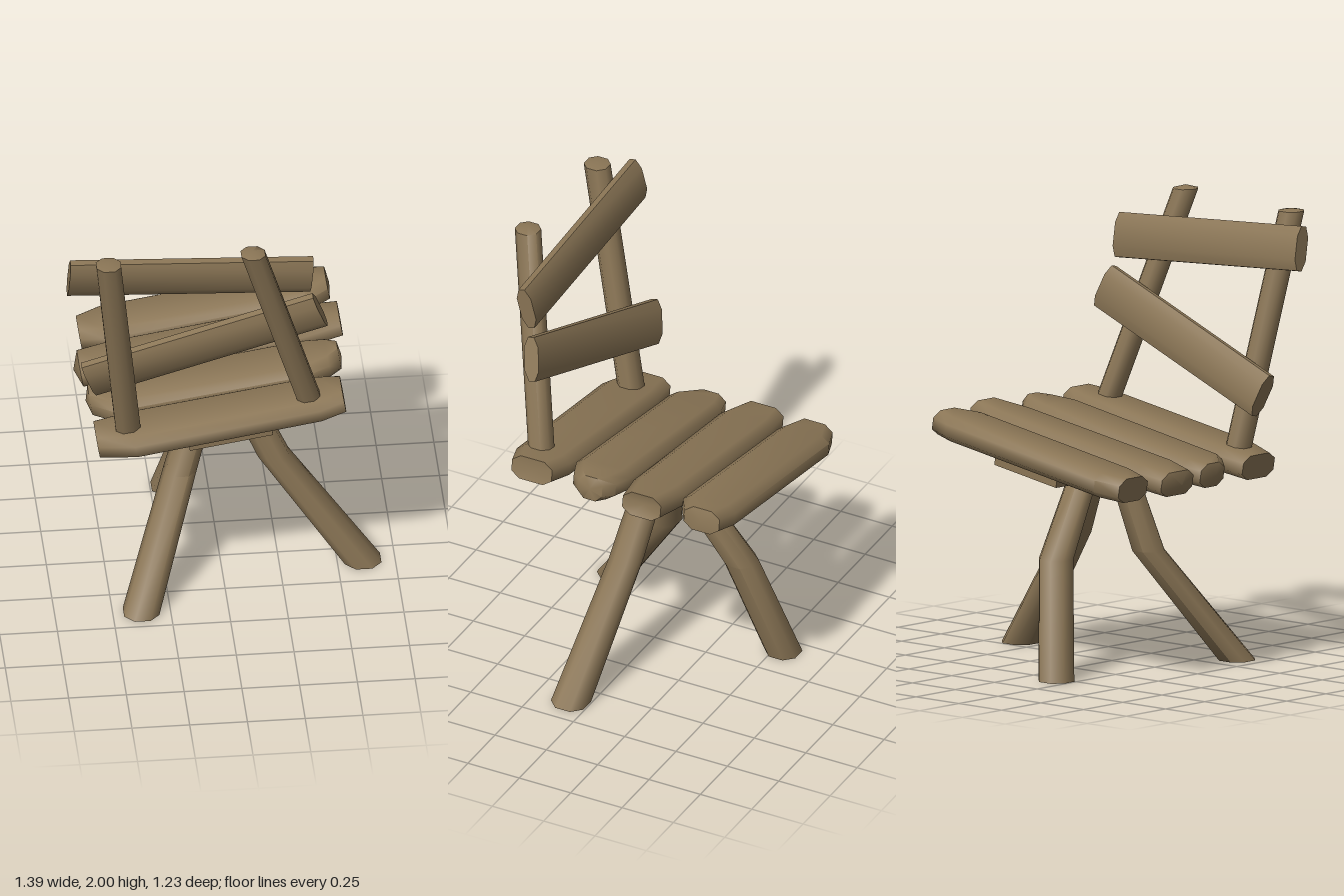
import * as THREE from 'three';
import { toCreasedNormals } from 'three/addons/utils/BufferGeometryUtils.js';

const X = new THREE.Vector3(1, 0, 0);
const Y = new THREE.Vector3(0, 1, 0);
const Z = new THREE.Vector3(0, 0, 1);

// Chamfered rectangle around c, spanned by u and v (u x v points along the loft)
function ring(c, u, v, hu, hv, cu, cv) {
  return [
    [hu, -hv + cv], [hu, hv - cv], [hu - cu, hv], [-hu + cu, hv],
    [-hu, hv - cv], [-hu, -hv + cv], [-hu + cu, -hv], [hu - cu, -hv],
  ].map(([a, b]) => c.clone().addScaledVector(u, a).addScaledVector(v, b));
}

// Skin a list of rings; tips push the cap centres along the given axis
function loft(rings, axis = X, startTip = 0, endTip = 0) {
  const pos = [];
  const tri = (...pts) => pts.forEach((p) => pos.push(p.x, p.y, p.z));
  const n = rings[0].length;
  const middle = (r, tip) => r.reduce((s, p) => s.add(p), new THREE.Vector3())
    .divideScalar(n).addScaledVector(axis, tip);
  const first = rings[0];
  const last = rings[rings.length - 1];
  const c0 = middle(first, startTip);
  const c1 = middle(last, endTip);
  for (let j = 0; j < n; j++) {
    const k = (j + 1) % n;
    for (let i = 0; i < rings.length - 1; i++) {
      const a = rings[i];
      const b = rings[i + 1];
      tri(a[j], a[k], b[k]);
      tri(a[j], b[k], b[j]);
    }
    tri(c0, first[k], first[j]);
    tri(c1, last[j], last[k]);
  }
  const geo = new THREE.BufferGeometry();
  geo.setAttribute('position', new THREE.Float32BufferAttribute(pos, 3));
  return toCreasedNormals(geo, 1.0);
}

// Plank running along x from stations [x, zMin, zMax]
function plankGeometry(stations, startTip, endTip) {
  return loft(stations.map(([x, z0, z1]) => {
    const h = (z1 - z0) / 2;
    return ring(new THREE.Vector3(x, 0, (z0 + z1) / 2), Y, Z, 0.054, h, 0.028, Math.min(0.04, h * 0.5));
  }), X, startTip, endTip);
}

// Pole with level cuts, through points [x, y, z, radius] from bottom to top
function poleGeometry(points, tip = 0) {
  return loft(points.map(([x, y, z, r]) =>
    ring(new THREE.Vector3(x, y, z), Z, X, r, r, r * 0.55, r * 0.55)), Y, 0, tip);
}

export function createModel() {
  const model = new THREE.Group();
  model.name = 'rusticChair';
  const wood = new THREE.MeshStandardMaterial({ color: 0x8b7656 });
  wood.name = 'brown wood';
  const add = (parent, name, geo) => {
    const mesh = new THREE.Mesh(geo, wood);
    mesh.name = name;
    parent.add(mesh);
    return mesh;
  };

  // Tilted seat of four rough planks
  const seat = new THREE.Group();
  seat.name = 'seat';
  seat.position.set(-0.03, 0.962, 0);
  seat.rotation.z = 0.164;
  model.add(seat);
  const planks = [
    { s: [[-0.54, -0.57, -0.39], [-0.43, -0.61, -0.36], [0.45, -0.61, -0.355], [0.55, -0.585, -0.415]], a: 0, b: 0.01 },
    { s: [[-0.56, -0.32, -0.12], [-0.42, -0.34, -0.085], [0.41, -0.34, -0.095], [0.58, -0.315, -0.13]], a: -0.03, b: -0.025 },
    { s: [[-0.54, -0.05, 0.1], [-0.45, -0.075, 0.18], [0.4, -0.075, 0.19], [0.5, -0.055, 0.15], [0.55, -0.015, 0.1]], a: -0.02, b: 0.01 },
    { s: [[-0.54, 0.22, 0.42], [-0.38, 0.2, 0.47], [0.43, 0.205, 0.465], [0.54, 0.235, 0.43]], a: 0, b: -0.01 },
  ];
  planks.forEach(({ s, a, b }, i) => add(seat, `seatPlank${i + 1}`, plankGeometry(s, a, b)));

  // Board that joins the planks from below
  add(seat, 'underBoard', new THREE.BoxGeometry(0.365, 0.045, 0.94)).position.set(0.028, -0.073, -0.07);

  // Three bent legs
  const legs = {
    leftLeg: [[0.61, 0, 0.085, 0.079], [0.23, 0.54, 0.015, 0.068], [0.07, 0.89, -0.03, 0.063]],
    rightLeg: [[-0.377, 0, 0.385, 0.076], [-0.175, 0.5, 0.04, 0.068], [-0.065, 0.875, -0.02, 0.06]],
    backLeg: [[-0.17, 0, -0.54, 0.074], [-0.04, 0.5, -0.4, 0.071], [0.015, 0.88, -0.14, 0.06]],
  };
  for (const [name, points] of Object.entries(legs)) add(model, name, poleGeometry(points));

  // Two leaning posts
  add(model, 'rightPost', poleGeometry([[-0.425, 0.9, 0.33, 0.054], [-0.535, 1.96, 0.56, 0.053]], 0.01));
  add(model, 'leftPost', poleGeometry([[0.365, 1.02, 0.355, 0.052], [0.09, 1.985, 0.568, 0.052]], 0.015));

  // Two crooked slats, leaning with the posts
  const addSlat = (name, length, x, y, z, roll) => {
    const rings = [-0.5, 0.5].map((t) =>
      ring(new THREE.Vector3(t * length, 0, 0), Y, Z, 0.097, 0.035, 0.045, 0.02));
    const slat = add(model, name, loft(rings));
    slat.position.set(x, y, z);
    slat.rotation.set(0.22, 0, roll);
  };
  addSlat('upperSlat', 1.055, -0.17, 1.795, 0.442, -0.057);
  addSlat('lowerSlat', 1.06, -0.1, 1.365, 0.35, 0.352);

  return model;
}
